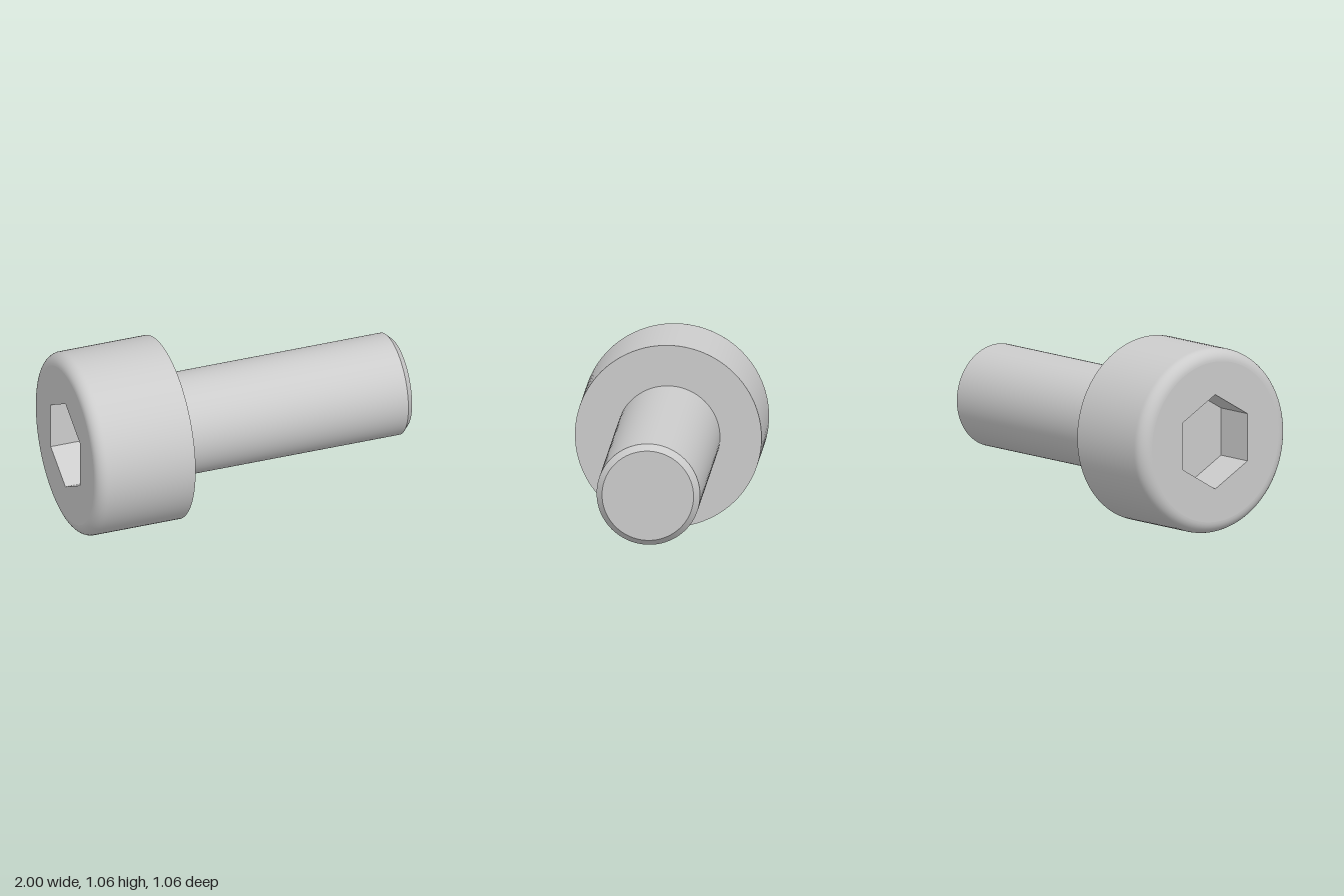
import * as THREE from 'three';

const SEG = 96;
const HEAD_R = 0.53, HEAD_END = -0.413, FILLET = 0.07;
const SHAFT_R = 0.294, TIP_R = 0.26, CHAMFER_START = 0.965;
const HEX_R = 0.47 / Math.sqrt(3), HEX_DEPTH = 0.24;

export function createModel() {
  const model = new THREE.Group();
  model.name = 'socketHeadScrew';
  const material = new THREE.MeshStandardMaterial({ color: 0xcccccc });

  // Parts are made along local y, which is then laid along world x
  const screw = new THREE.Group();
  screw.name = 'screw';
  screw.rotation.z = -Math.PI / 2;
  screw.position.y = HEAD_R;
  model.add(screw);

  const add = (name, geometry, mat = material) => {
    const mesh = new THREE.Mesh(geometry, mat);
    mesh.name = name;
    screw.add(mesh);
    return mesh;
  };
  // Each turned surface is separate, so the edges between them stay sharp
  const turn = (name, points) =>
    add(name, new THREE.LatheGeometry(points.map(([r, y]) => new THREE.Vector2(r, y)), SEG));

  // Head side with rounded outer edge
  const side = [];
  for (let i = 0; i <= 10; i++) {
    const a = (i / 10) * Math.PI / 2;
    side.push([HEAD_R - FILLET + FILLET * Math.sin(a), -1 + FILLET - FILLET * Math.cos(a)]);
  }
  side.push([HEAD_R, -0.92], [HEAD_R, HEAD_END]);
  turn('headSide', side);
  turn('headShoulder', [[HEAD_R, HEAD_END], [SHAFT_R, HEAD_END]]);

  // Shaft with chamfered tip
  turn('shaft', [[SHAFT_R, HEAD_END], [SHAFT_R, CHAMFER_START]]);
  turn('tipChamfer', [[SHAFT_R, CHAMFER_START], [TIP_R, 1]]);
  turn('tipFace', [[TIP_R, 1], [0, 1]]);

  // Head face with hexagonal opening
  const face = new THREE.Shape().absarc(0, 0, HEAD_R - FILLET, 0, Math.PI * 2);
  const corners = Array.from({ length: 6 }, (_, i) => new THREE.Vector2(
    HEX_R * Math.cos(i * Math.PI / 3), HEX_R * Math.sin(i * Math.PI / 3)));
  face.holes.push(new THREE.Path(corners.reverse()));
  add('headFace', new THREE.ShapeGeometry(face, SEG).rotateX(Math.PI / 2).translate(0, -1, 0));

  // Hex socket walls and floor
  const wallMaterial = new THREE.MeshStandardMaterial({
    color: 0xcccccc, flatShading: true, side: THREE.DoubleSide });
  add('socketWalls',
    new THREE.CylinderGeometry(HEX_R, HEX_R, HEX_DEPTH, 6, 1, true, Math.PI / 2)
      .translate(0, -1 + HEX_DEPTH / 2, 0), wallMaterial);
  add('socketFloor',
    new THREE.CircleGeometry(HEX_R, 6).rotateX(Math.PI / 2).translate(0, -1 + HEX_DEPTH, 0));

  return model;
}
